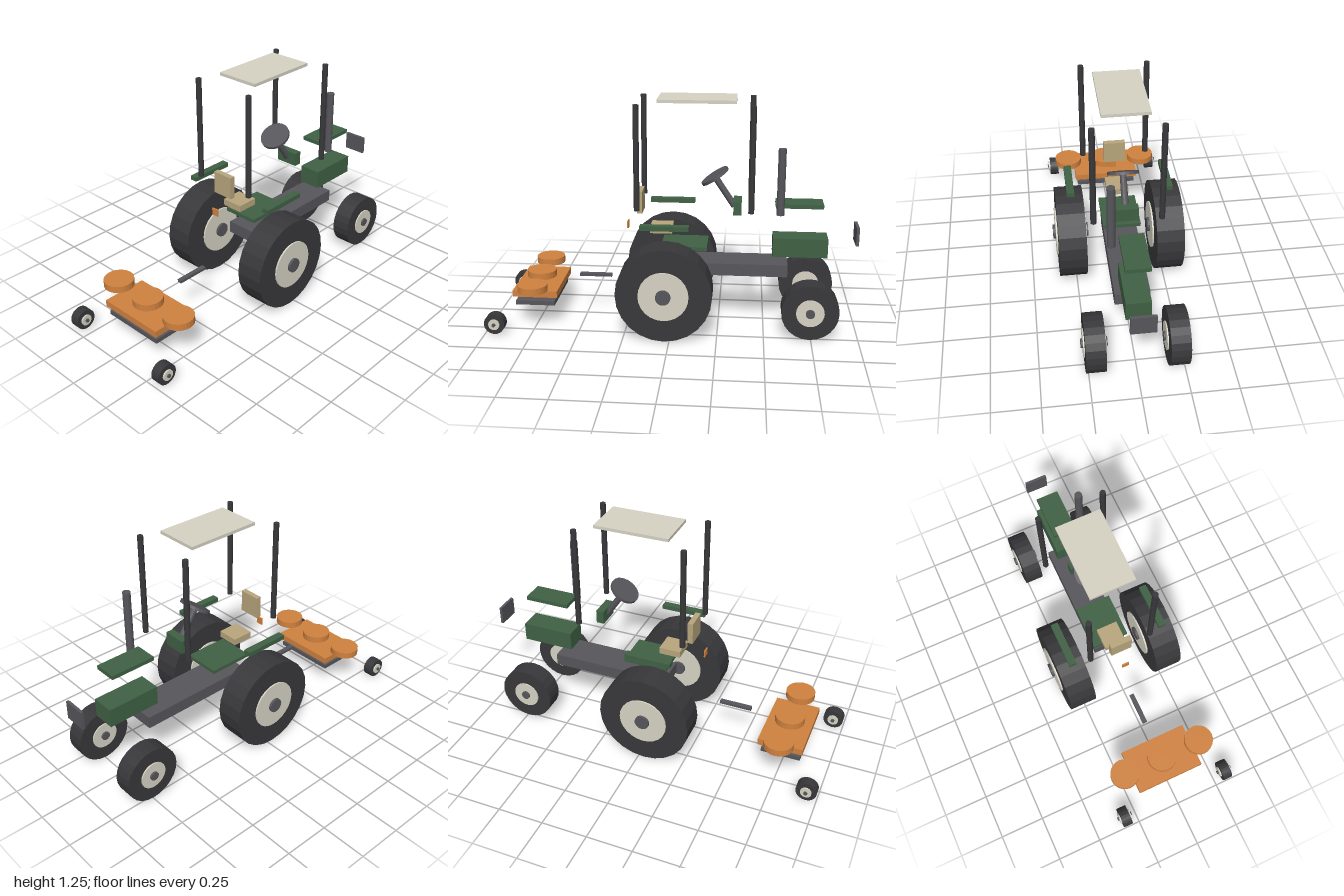
import * as THREE from 'three';

const mat = (color) => new THREE.MeshStandardMaterial({ color, flatShading: true });

export function createModel() {
  const model = new THREE.Group();
  const green = mat(0x3f6144), black = mat(0x38383b), grey = mat(0x56565b);
  const orange = mat(0xd0823f), tan = mat(0xb8a67c), cream = mat(0xd6d3c4);

  function add(name, geometry, material, x, y, z, parent = model) {
    const mesh = new THREE.Mesh(geometry, material);
    mesh.name = name;
    mesh.position.set(x, y, z);
    parent.add(mesh);
    return mesh;
  }

  // Box given by its centre x, width and its y and z ranges
  function box(name, material, x, width, [y0, y1], [z0, z1]) {
    return add(name, new THREE.BoxGeometry(width, y1 - y0, z1 - z0), material,
      x, (y0 + y1) / 2, (z0 + z1) / 2);
  }

  function cylinder(name, material, r, height, x, y, z, sides = 24) {
    return add(name, new THREE.CylinderGeometry(r, r, height, sides), material, x, y, z);
  }

  // Wheel: tyre, rim and hub as [radius, width], each poking out of the one before
  function wheel(name, x, y, z, tyre, rim, hub) {
    const group = new THREE.Group();
    group.name = name;
    group.position.set(x, y, z);
    const parts = [['tyre', tyre, black], ['rim', rim, cream], ['hub', hub, grey]];
    for (const [part, [r, width], material] of parts) {
      const geometry = new THREE.CylinderGeometry(r, r, width, 24).rotateZ(Math.PI / 2);
      add(part, geometry, material, 0, 0, 0, group);
    }
    model.add(group);
  }

  // Paired parts
  for (const [side, s] of [['left', 1], ['right', -1]]) {
    wheel(side + 'LargeWheel', s * 0.271, 0.256, 0.03, [0.256, 0.154], [0.134, 0.172], [0.04, 0.2]);
    wheel(side + 'SmallWheel', s * 0.2135, 0.154, -0.742, [0.153, 0.103], [0.075, 0.117], [0.024, 0.138]);
    wheel(side + 'MowerWheel', s * 0.318, 0.062, 0.944, [0.056, 0.053], [0.03, 0.07], [0.01, 0.086]);
    box(side + 'Fender', green, s * 0.268, 0.041, [0.595, 0.62], [-0.098, 0.158]);
    for (const z of [0.185, -0.418]) {
      cylinder(side + 'RoofPost', black, 0.0155, 0.564, s * 0.175, 0.952, z, 12);
    }
  }

  // Body
  box('chassis', grey, 0, 0.186, [0.287, 0.355], [-0.623, 0.05]);
  box('hood', green, 0, 0.128, [0.393, 0.498], [-0.837, -0.54]);
  box('hoodLid', green, 0, 0.128, [0.668, 0.69], [-0.805, -0.55]);
  box('grille', grey, 0, 0.128, [0.465, 0.567], [-1, -0.984]);
  box('floor', green, 0, 0.206, [0.429, 0.449], [-0.185, 0.065]);
  box('dashboard', green, 0, 0.128, [0.622, 0.697], [-0.367, -0.323]);
  cylinder('exhaust', grey, 0.021, 0.36, 0.103, 0.823, -0.573, 16);
  box('roof', cream, 0, 0.244, [1.235, 1.252], [-0.331, 0.083]);

  // Seat
  box('seat', tan, 0, 0.12, [0.508, 0.545], [0.008, 0.128]);
  box('seatBack', tan, 0, 0.12, [0.618, 0.742], [0.17, 0.2]);

  // Steering, tilted toward the seat
  const tilt = 0.59;
  cylinder('steeringColumn', grey, 0.018, 0.2, 0, 0.742, -0.272, 12).rotation.x = tilt;
  cylinder('steeringWheel', grey, 0.083, 0.016, 0, 0.824, -0.22).rotation.x = tilt;

  // Hitch and towed mower
  box('lamp', orange, 0, 0.04, [0.52, 0.56], [0.252, 0.26]);
  box('drawbar', grey, 0, 0.026, [0.227, 0.243], [0.353, 0.534]);
  box('mowerDeck', orange, 0, 0.386, [0.163, 0.2], [0.63, 0.876]);
  box('bladePlate', grey, 0, 0.36, [0.112, 0.136], [0.648, 0.864]);
  for (const x of [-0.231, 0, 0.231]) {
    cylinder('bladeCover', orange, 0.081, 0.038, x, 0.238, 0.753);
  }

  return model;
}
